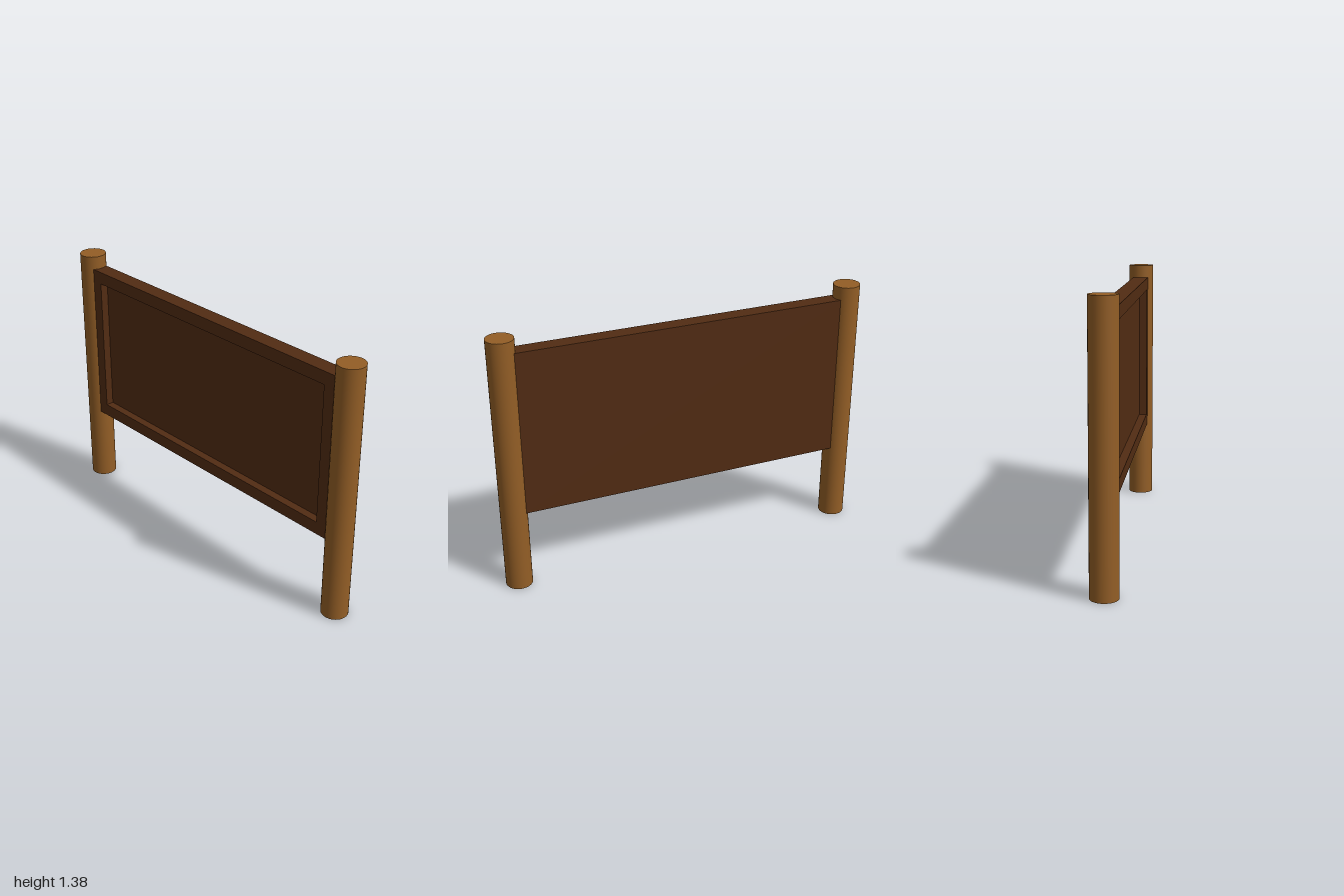
import * as THREE from 'three';

const postWood = new THREE.MeshStandardMaterial({ color: 0x935e26 });
const panelWood = new THREE.MeshStandardMaterial({ color: 0x522c13 });

function addMesh(group, name, geometry, material, x, y, z) {
  const mesh = new THREE.Mesh(geometry, material);
  mesh.name = name;
  mesh.position.set(x, y, z);
  group.add(mesh);
}

// Rectangle as a closed set of points, centred on the origin
function rectangle(w, h) {
  return [[-w, -h], [w, -h], [w, h], [-w, h]].map(([x, y]) => new THREE.Vector2(x / 2, y / 2));
}

export function createModel() {
  const sign = new THREE.Group();
  sign.name = 'signBoard';

  // Round posts
  const radius = 0.07, postHeight = 1.38;
  for (const side of [1, -1]) {
    addMesh(sign, side > 0 ? 'leftPost' : 'rightPost',
      new THREE.CylinderGeometry(radius, radius, postHeight, 32), postWood,
      side * (1 - radius), postHeight / 2, 0);
  }

  // Board: solid back half, with a raised frame around the front recess
  const width = 1.76, height = 0.88, centerY = 0.87, halfDepth = 0.043;
  addMesh(sign, 'backPanel', new THREE.BoxGeometry(width, height, halfDepth), panelWood,
    0, centerY, -halfDepth / 2);

  const frame = new THREE.Shape(rectangle(width, height));
  frame.holes.push(new THREE.Path(rectangle(1.63, 0.745)));
  addMesh(sign, 'frontFrame',
    new THREE.ExtrudeGeometry(frame, { depth: halfDepth, bevelEnabled: false }), panelWood,
    0, centerY, 0);

  return sign;
}
